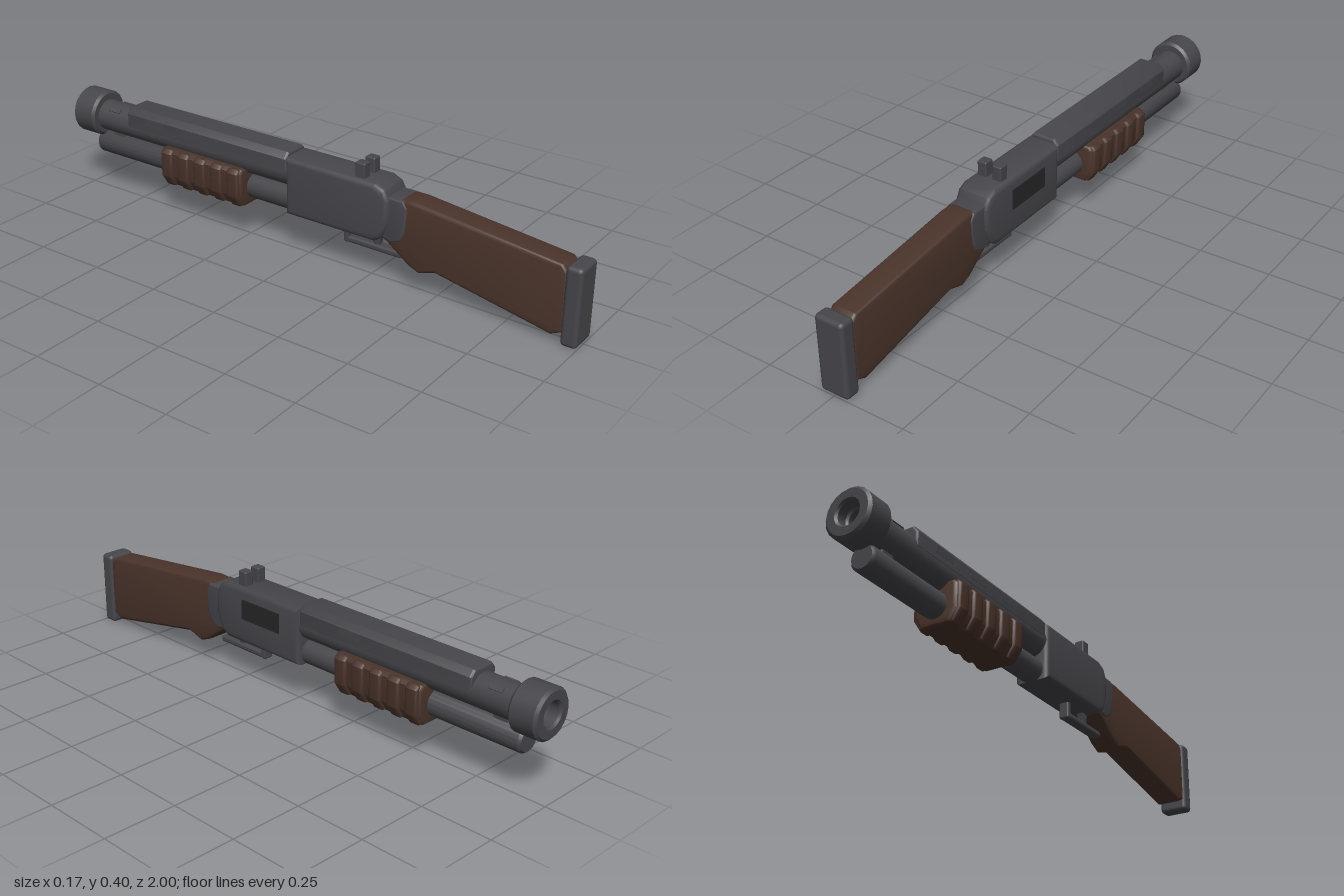
import * as THREE from 'three';
import { RoundedBoxGeometry } from 'three/addons/geometries/RoundedBoxGeometry.js';
import { toCreasedNormals } from 'three/addons/utils/BufferGeometryUtils.js';

const mat = (name, color) => {
  const m = new THREE.MeshStandardMaterial({ color });
  m.name = name;
  return m;
};

export function createModel() {
  const steel = mat('dark steel', 0x46464b);
  const wood = mat('brown wood', 0x4a342b);
  const black = mat('port black', 0x262627);
  const model = new THREE.Group();

  const add = (name, geometry, material, parent = model) => {
    const mesh = new THREE.Mesh(geometry, material);
    mesh.name = name;
    parent.add(mesh);
    return mesh;
  };

  // Rounded block given by its x, y and z ranges
  const block = (name, [x0, x1], [y0, y1], [z0, z1], r, material, parent) => {
    const g = new RoundedBoxGeometry(x1 - x0, y1 - y0, z1 - z0, 2, r);
    g.translate((x0 + x1) / 2, (y0 + y1) / 2, (z0 + z1) / 2);
    return add(name, g, material, parent);
  };

  // Bevelled extrusion of an outline, centred on the extrusion axis
  const slab = (points, length, bevel) => {
    const shape = new THREE.Shape(points.map(p => new THREE.Vector2(...p)));
    const g = new THREE.ExtrudeGeometry(shape, {
      depth: length - 2 * bevel, bevelThickness: bevel, bevelSize: bevel,
      bevelOffset: -bevel, bevelSegments: 3
    });
    g.translate(0, 0, bevel - length / 2);
    return toCreasedNormals(g, 0.6);
  };
  // Side profile in (z, y), extruded across x
  const profile = (name, points, width, bevel, material) =>
    add(name, slab(points, width, bevel).rotateY(-Math.PI / 2), material);

  // Lathe along -z from (radius, distance) points
  const turned = (name, points, y, z, material) => {
    const g = new THREE.LatheGeometry(points.map(p => new THREE.Vector2(...p)), 20);
    g.rotateX(-Math.PI / 2).translate(0, y, z);
    return add(name, toCreasedNormals(g, 0.7), material);
  };

  // Stock with its pad and collar
  profile('stock', [
    [0.95, 0.04], [0.95, 0.24], [0.93, 0.262], [0.43, 0.317], [0.40, 0.317], [0.32, 0.30],
    [0.30, 0.17], [0.33, 0.155], [0.41, 0.096], [0.45, 0.079], [0.51, 0.098], [0.91, 0.022]
  ], 0.092, 0.012, wood);
  block('buttPad', [-0.052, 0.052], [0, 0.265], [0.945, 1], 0.014, steel);
  profile('stockCollar', [
    [0.405, 0.29], [0.39, 0.313], [0.30, 0.313], [0.30, 0.175], [0.35, 0.16], [0.385, 0.175], [0.40, 0.21]
  ], 0.1, 0.006, steel);

  // Receiver with its side port
  profile('receiver', [
    [-0.055, 0.15], [0.29, 0.15], [0.32, 0.17], [0.343, 0.225], [0.343, 0.30],
    [0.325, 0.335], [0.29, 0.35], [-0.055, 0.35]
  ], 0.126, 0.018, steel);
  add('ejectionPort', new THREE.BoxGeometry(0.008, 0.07, 0.178).translate(0.062, 0.275, 0.12), black);

  // Pair of rear sight blocks
  for (const s of [-1, 1]) {
    block('rearSight', [s * 0.028 - 0.017, s * 0.028 + 0.017], [0.335, 0.40], [0.208, 0.245], 0.005, steel);
  }

  // Trigger and guard
  block('guardBar', [-0.018, 0.018], [0.094, 0.117], [0.16, 0.37], 0.009, steel);
  block('guardPost', [-0.018, 0.018], [0.094, 0.17], [0.148, 0.168], 0.006, steel);
  profile('trigger', [[0.29, 0.16], [0.25, 0.16], [0.262, 0.112], [0.282, 0.112]], 0.022, 0.004, steel);

  // Barrel, magazine tube and clamp between them
  turned('barrel', [[0.001, 0], [0.056, 0], [0.056, 0.88]], 0.29, -0.04, steel);
  turned('magazineTube', [[0.001, 0], [0.044, 0], [0.044, 0.878], [0.037, 0.887], [0, 0.887]], 0.188, -0.04, steel);
  block('barrelClamp', [-0.02, 0.02], [0.21, 0.25], [-0.865, -0.81], 0.006, steel);

  // Hollow muzzle ring with a stepped bore
  turned('muzzle', [
    [0.05, 0], [0.074, 0], [0.083, 0.009], [0.083, 0.091], [0.074, 0.1], [0.046, 0.1],
    [0.039, 0.093], [0.039, 0.06], [0.032, 0.055], [0.032, 0.01]
  ], 0.294, -0.9, steel);
  add('boreEnd', new THREE.CircleGeometry(0.034, 20).rotateY(Math.PI).translate(0, 0.294, -0.915), black);

  // Heat shield over the barrel
  add('heatShield', slab([
    [-0.057, 0.295], [0.057, 0.295], [0.057, 0.343], [0.04, 0.364], [-0.04, 0.364], [-0.057, 0.343]
  ], 0.7, 0.008).translate(0, 0, -0.405), steel);

  // Vent plates on the shield and small ones on the barrel, both sides
  for (const s of [-1, 1]) {
    for (const z of [-0.275, -0.447, -0.622]) {
      add('shieldVent', new THREE.BoxGeometry(0.006, 0.026, 0.088).translate(s * 0.055, 0.328, z), steel);
    }
    const vent = add('barrelVent', new THREE.BoxGeometry(0.006, 0.016, 0.05), steel);
    vent.position.set(s * 0.038, 0.331, -0.83);
    vent.rotation.z = s * 0.8;
  }

  // Ribbed pump grip
  const pump = new THREE.Group();
  pump.name = 'pumpGrip';
  model.add(pump);
  const section = w => [
    [-w, 0.165], [-w + 0.025, 0.125], [w - 0.025, 0.125], [w, 0.165], [w, 0.25], [w - 0.012, 0.263],
    [-w + 0.012, 0.263], [-w, 0.25]
  ];
  add('gripCore', slab(section(0.077), 0.355, 0.012).translate(0, 0, -0.408), wood, pump);
  for (let i = 0; i < 5; i++) {
    add('gripRib', slab(section(0.087), 0.05, 0.011).translate(0, 0, -0.262 - i * 0.073), wood, pump);
  }

  return model;
}
